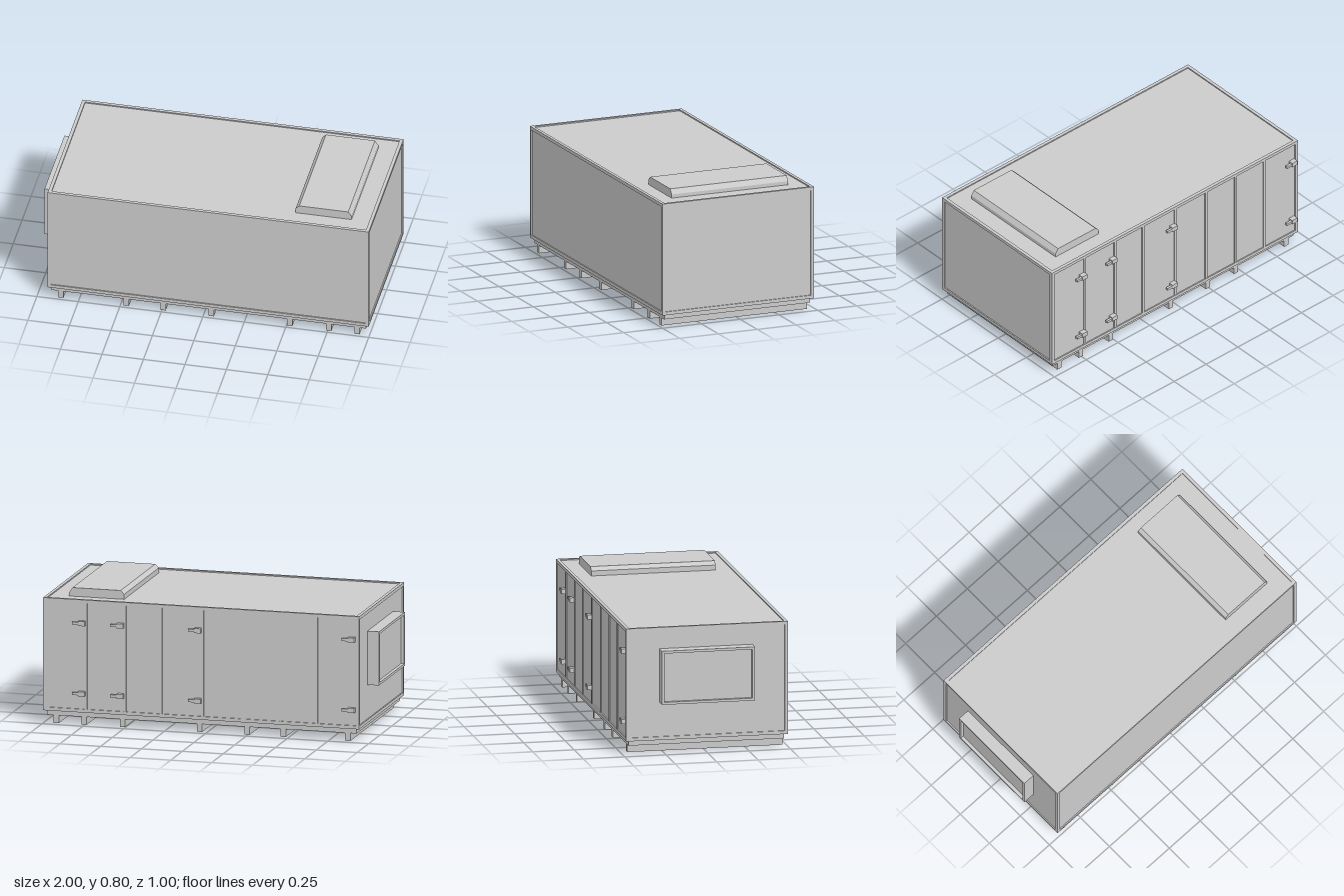
import * as THREE from 'three';

export function createModel() {
  const model = new THREE.Group();
  model.name = 'airHandlingUnit';
  const mat = new THREE.MeshStandardMaterial({ color: 0xcccccc, flatShading: true });

  // Box given by its lower and upper limits on each axis
  const box = (name, x0, x1, y0, y1, z0, z1, parent = model) => {
    const m = new THREE.Mesh(new THREE.BoxGeometry(x1 - x0, y1 - y0, z1 - z0), mat);
    m.position.set((x0 + x1) / 2, (y0 + y1) / 2, (z0 + z1) / 2);
    m.name = name;
    parent.add(m);
    return m;
  };

  const X0 = -0.935, X1 = 1, Y0 = 0.077, Y1 = 0.757, Z0 = -0.477, Z1 = 0.5;
  const bar = 0.02, inset = 0.007;

  // Casing panels, set slightly back inside the frame
  box('casing', X0 + inset, X1 - inset, Y0 + 0.002, Y1 - inset, Z0 + inset, Z1 - inset);

  // Frame: posts and rails along the twelve edges
  const frame = new THREE.Group();
  frame.name = 'frame';
  model.add(frame);
  const ends = (a, b) => [[a, a + bar], [b - bar, b]];
  for (const [x0, x1] of ends(X0, X1))
    for (const [z0, z1] of ends(Z0, Z1)) box('cornerPost', x0, x1, Y0, Y1, z0, z1, frame);
  for (const [y0, y1] of ends(Y0, Y1)) {
    for (const [z0, z1] of ends(Z0, Z1)) box('longRail', X0 + bar, X1 - bar, y0, y1, z0, z1, frame);
    for (const [x0, x1] of ends(X0, X1)) box('endRail', x0, x1, y0, y1, Z0 + bar, Z1 - bar, frame);
  }

  // Mullions between the rear doors and panels
  for (const x of [0.738, 0.5, 0.28, 0.025, -0.215, -0.447, -0.673])
    box('mullion', x - 0.008, x + 0.008, Y0 + bar, Y1 - bar, Z0 + 0.001, Z0 + 0.015, frame);

  // Rear door handles: mounting block with a thinner lever
  for (const x of [0.74, 0.505, 0.03, -0.91])
    for (const y of [0.192, 0.617]) {
      const handle = new THREE.Group();
      handle.name = 'doorHandle';
      model.add(handle);
      box('handleBlock', x, x + 0.04, y - 0.014, y + 0.014, -0.5, Z0 + inset, handle);
      box('handleLever', x + 0.04, x + 0.078, y - 0.008, y + 0.008, -0.498, -0.483, handle);
    }

  // Base plate and cross skids
  box('basePlate', -0.915, 0.98, 0.047, Y0 + 0.003, -0.458, 0.48);
  for (const x of [-0.86, -0.465, -0.243, 0.047, 0.52, 0.755, 0.925])
    box('skid', x - 0.016, x + 0.016, 0, 0.047, -0.458, 0.48);

  // Duct collar on the end wall: hollow rim around a recessed plate
  const rect = (T, w, h) => new T([
    new THREE.Vector2(-w, -h), new THREE.Vector2(w, -h),
    new THREE.Vector2(w, h), new THREE.Vector2(-w, h)]);
  const rim = rect(THREE.Shape, 0.28, 0.162);
  rim.holes.push(rect(THREE.Path, 0.265, 0.147));
  const collar = new THREE.Mesh(
    new THREE.ExtrudeGeometry(rim, { depth: 0.065 + inset, bevelEnabled: false }), mat);
  collar.name = 'ductCollar';
  collar.rotation.y = Math.PI / 2;
  collar.position.set(-1, 0.465, 0.005);
  model.add(collar);
  box('ductPlate', -0.98, X0 + inset, 0.318, 0.612, -0.26, 0.27);

  // Roof hood with bevelled long edges
  const hoodShape = new THREE.Shape([
    [0.535, 0.745], [0.872, 0.745], [0.872, 0.772], [0.852, 0.802], [0.557, 0.802], [0.535, 0.78],
  ].map(([x, y]) => new THREE.Vector2(x, y)));
  const hood = new THREE.Mesh(
    new THREE.ExtrudeGeometry(hoodShape, { depth: 0.75, bevelEnabled: false }), mat);
  hood.name = 'roofHood';
  hood.position.z = -0.365;
  model.add(hood);

  return model;
}
